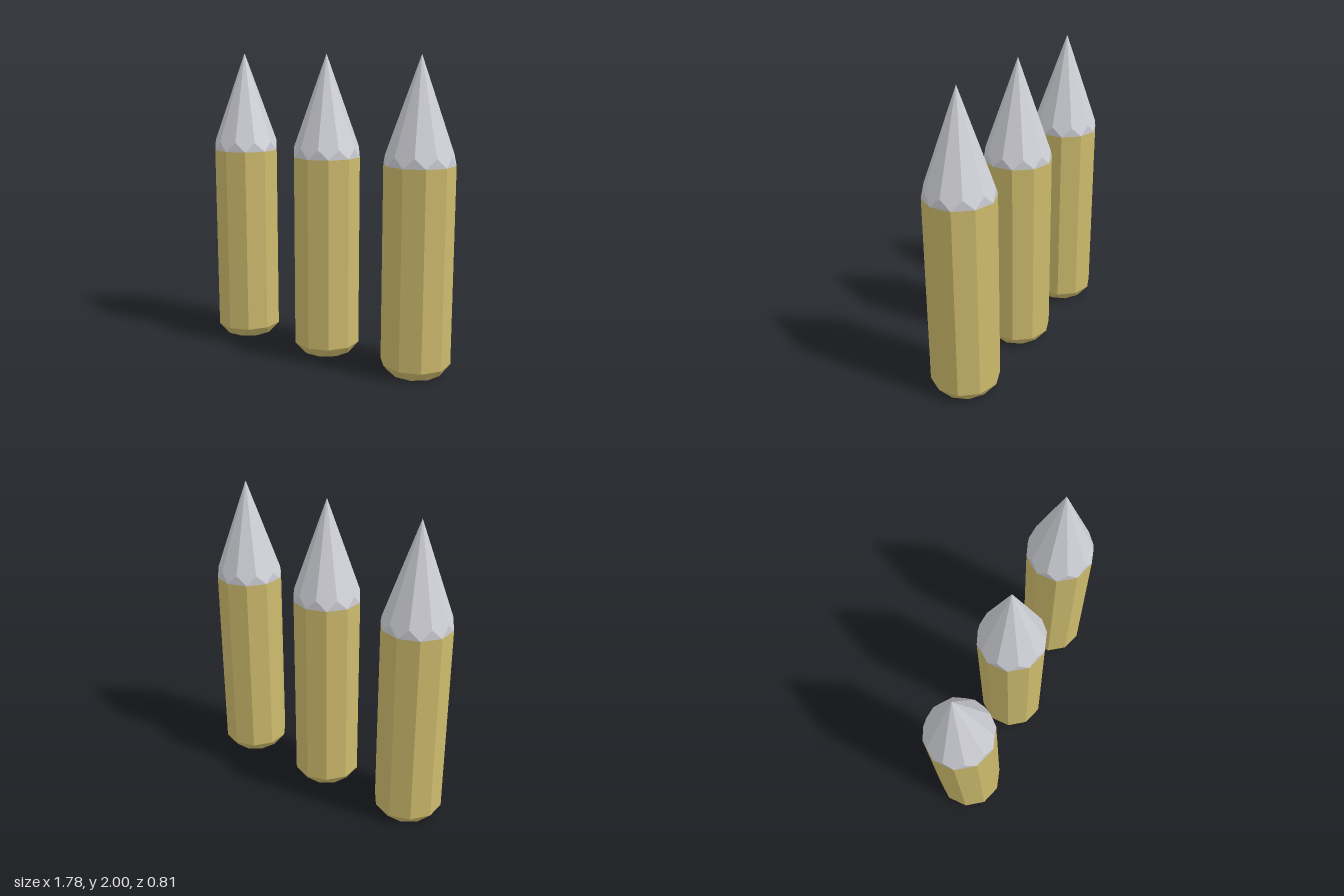
import * as THREE from 'three';

const SIDES = 10;
const R = 0.225;                       // casing corner radius
const FACE_R = R * Math.cos(Math.PI / SIDES); // distance to casing face centres
const SHOULDER = 1.335, PEAK = 1.398, TOP = 2;

// Point on a ring; step 0 faces +z, half steps are the casing corners
function ringPoint(step, radius, y) {
  const a = (step / SIDES) * Math.PI * 2;
  return new THREE.Vector3(Math.sin(a) * radius, y, Math.cos(a) * radius);
}

// Flat-faced geometry from a list of triangle corners
function facets(points) {
  const geometry = new THREE.BufferGeometry().setFromPoints(points);
  geometry.computeVertexNormals();
  return geometry;
}

// Ten-sided casing with a faceted chamfer and a closed base
function casingGeometry() {
  const points = [];
  const corner = (k, y) => ringPoint(k + 0.5, R, y);
  const base = (k) => ringPoint(k, 0.173, 0);
  const low = 0.065;
  const centre = new THREE.Vector3(0, 0, 0);
  for (let k = 0; k < SIDES; k++) {
    points.push(corner(k - 1, low), corner(k, low), corner(k, SHOULDER));
    points.push(corner(k - 1, low), corner(k, SHOULDER), corner(k - 1, SHOULDER));
    points.push(base(k), corner(k, low), corner(k - 1, low));
    points.push(base(k), base(k + 1), corner(k, low));
    points.push(centre, base(k + 1), base(k));
  }
  return facets(points);
}

// Ten-sided point, turned half a side, meeting the casing in a zigzag
function tipGeometry() {
  const points = [];
  const corner = (k) => ringPoint(k + 0.5, R, SHOULDER);
  const peak = (k) => ringPoint(k, FACE_R, PEAK);
  const apex = new THREE.Vector3(0, TOP, 0);
  for (let k = 0; k < SIDES; k++) {
    points.push(corner(k - 1), corner(k), peak(k));
    points.push(corner(k), peak(k + 1), apex);
    points.push(corner(k), apex, peak(k));
  }
  return facets(points);
}

export function createModel() {
  const brass = new THREE.MeshStandardMaterial({ color: 0xcebb6d });
  brass.name = 'brass';
  const silver = new THREE.MeshStandardMaterial({ color: 0xcfd0d6 });
  silver.name = 'silver';

  const casing = casingGeometry();
  const tip = tipGeometry();
  const model = new THREE.Group();
  model.name = 'pointedRounds';

  // Three identical rounds in a diagonal row
  for (const i of [-1, 0, 1]) {
    const round = new THREE.Group();
    round.name = ['rightRound', 'middleRound', 'leftRound'][i + 1];
    const casingMesh = new THREE.Mesh(casing, brass);
    casingMesh.name = 'casing';
    const tipMesh = new THREE.Mesh(tip, silver);
    tipMesh.name = 'tip';
    round.add(casingMesh, tipMesh);
    round.position.set(i * 0.665, 0, i * -0.19);
    model.add(round);
  }
  return model;
}
